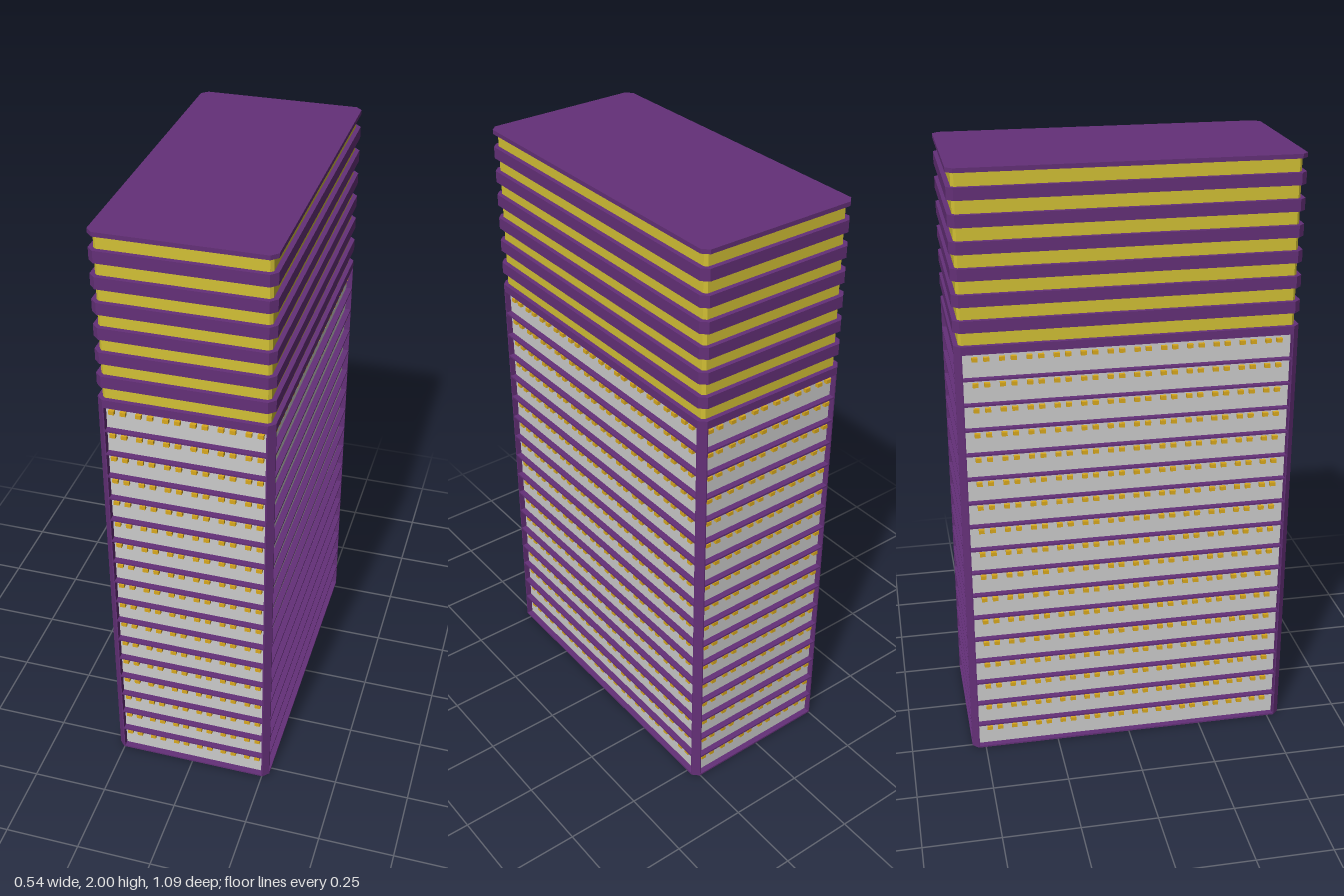
import * as THREE from 'three';
import { mergeGeometries } from 'three/addons/utils/BufferGeometryUtils.js';

const HX = 0.272, HZ = 0.545;   // outer half width and half depth
const RECESS = 0.02;            // how far the walls sit behind the slab edges
const FLOORS = 17, PITCH = 0.0838, FIRST = 0.09;

const mat = (color) => new THREE.MeshStandardMaterial({ color, flatShading: true });

// Rectangular prism with chamfered vertical corners, from y0 to y1
function prism(hx, hz, c, y0, y1) {
  const s = new THREE.Shape([
    [hx, -hz + c], [hx, hz - c], [hx - c, hz], [-hx + c, hz],
    [-hx, hz - c], [-hx, -hz + c], [-hx + c, -hz], [hx - c, -hz],
  ].map(([x, y]) => new THREE.Vector2(x, y)));
  return new THREE.ExtrudeGeometry(s, { depth: y1 - y0, bevelEnabled: false })
    .rotateX(-Math.PI / 2).translate(0, y0, 0);
}

export function createModel() {
  const group = new THREE.Group();
  const purple = mat(0x643078), yellow = mat(0xd2c035), amber = mat(0xd9a91e), grey = mat(0xcccccc);
  const add = (name, geometry, material) => {
    const mesh = new THREE.Mesh(geometry, material);
    mesh.name = name;
    group.add(mesh);
  };

  // Recessed grey walls of the lower tower
  const wx = HX - RECESS, wz = HZ - RECESS;
  add('walls', new THREE.BoxGeometry(wx * 2, 1.43, wz * 2).translate(0, 0.72, 0), grey);

  // Ground slab and thin projecting floor slabs
  add('baseSlab', prism(HX, HZ, 0.02, 0, 0.006), purple);
  const slabs = [];
  for (let i = 0; i < FLOORS - 1; i++) {
    const y = FIRST + i * PITCH;
    slabs.push(prism(HX, HZ, 0.02, y - 0.003, y + 0.003));
  }
  add('floorSlabs', mergeGeometries(slabs), purple);

  // Chamfered corner posts
  const pw = 0.024;
  for (const sx of [-1, 1]) for (const sz of [-1, 1]) {
    const pts = [[0, 0], [pw, 0], [pw, pw - 0.02], [pw - 0.02, pw], [0, pw]]
      .map(([x, z]) => new THREE.Vector2(sx * (HX - pw + x), -sz * (HZ - pw + z)));
    const post = new THREE.ExtrudeGeometry(new THREE.Shape(pts), { depth: 1.43, bevelEnabled: false });
    add('cornerPost', post.rotateX(-Math.PI / 2), purple);
  }

  // Pairs of small lamps under every floor slab, on all four sides
  const lamps = [];
  const lampRow = (pairs, wallDist, turn, y) => {
    for (let k = 0; k < pairs; k++) for (const s of [-1, 1]) {
      const x = (k - (pairs - 1) / 2) * 0.0845 + s * 0.018;
      lamps.push(new THREE.BoxGeometry(0.018, 0.013, 0.014)
        .translate(x, y, wallDist + 0.005).rotateY(turn));
    }
  };
  for (let i = 0; i < FLOORS; i++) {
    const y = FIRST + i * PITCH - 0.021;
    for (const t of [0, Math.PI]) {
      lampRow(6, wz, t, y);
      lampRow(12, wx, t + Math.PI / 2, y);
    }
  }
  add('lamps', mergeGeometries(lamps), amber);

  // Yellow crown with projecting purple rings and a roof plate
  add('crownCore', prism(0.257, 0.53, 0.009, 1.435, 1.99), yellow);
  for (let i = 0; i < 7; i++) {
    const top = 1.457 + i * 0.081;
    add('crownRing', prism(HX, HZ, 0.02, top - (i ? 0.038 : 0.027), top), purple);
  }
  add('roofPlate', prism(HX, HZ, 0.02, 1.986, 2), purple);

  return group;
}
